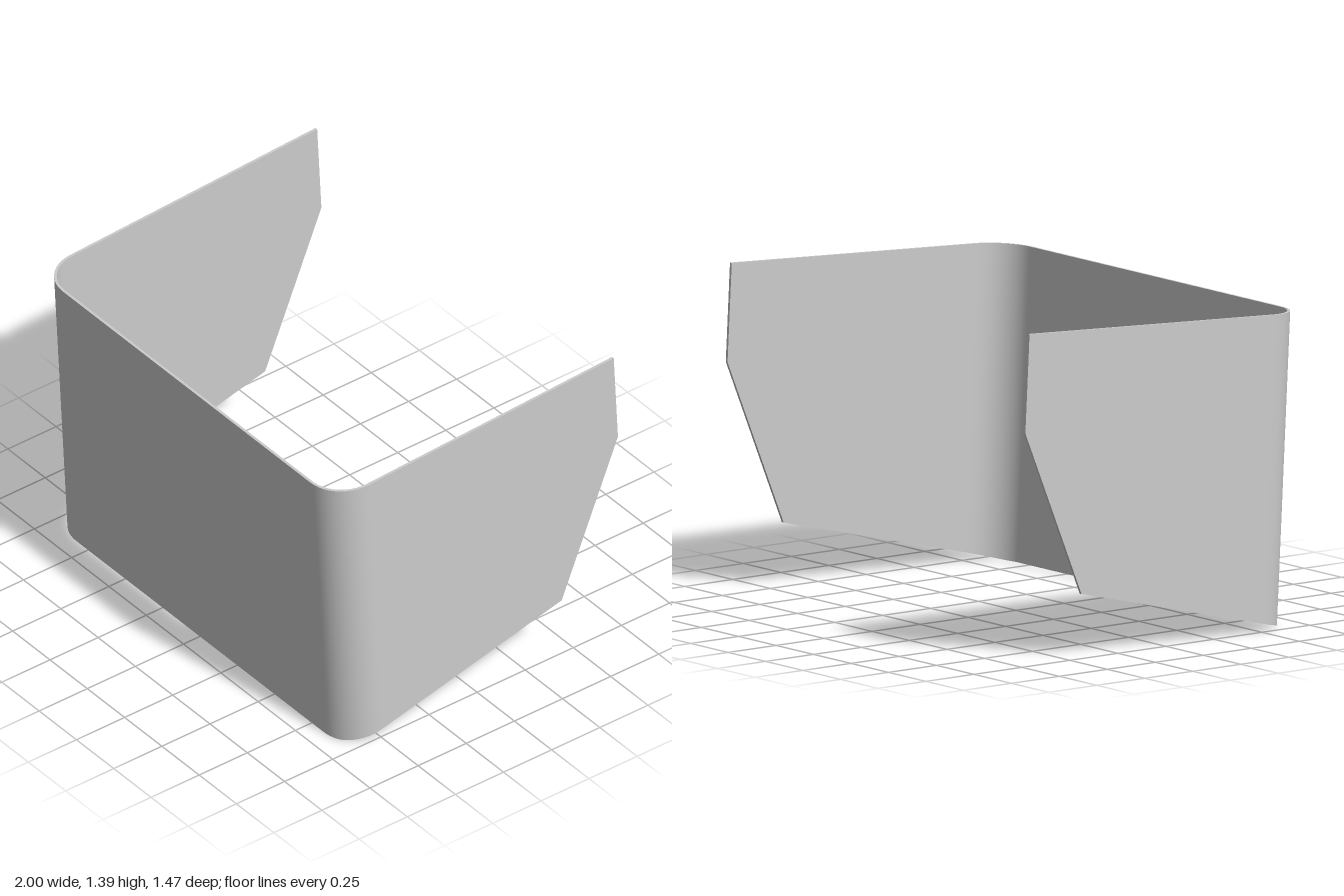
import * as THREE from 'three';

const THICK = 0.012, RADIUS = 0.17, REAR = 1.4485, KNEE = 1.119;

// Height of the lower and upper edges at distance u behind the front face
const lowerEdge = u => u < KNEE
  ? Math.max(0, (u - 0.02) * 0.2457)
  : 0.27 + (u - KNEE) * (0.705 / (REAR - KNEE));
const upperEdge = u => 1.31 + u * 0.0532;

// The panel leans forward as it rises
const place = (x, u, y) => new THREE.Vector3(x, y, 0.665 + 0.053 * y - u);

// U-shaped plan: each station is an outer and inner point, from the left rear to the right rear
function planStations() {
  const half = [[1, REAR, 1, 0], [1, KNEE, 1, 0]];
  const steps = 14;
  for (let i = 0; i <= steps; i++) {
    const a = (i / steps) * Math.PI / 2, c = Math.cos(a), s = Math.sin(a);
    half.push([1 - RADIUS + RADIUS * c, RADIUS - RADIUS * s, c, -s]);
  }
  const mirrored = half.map(([x, u, nx, nu]) => [-x, u, -nx, nu]).reverse();
  return [...half, ...mirrored];
}

// Thin four-sided cross-section swept along the plan, with sharp edges between its faces
function panelGeometry() {
  const rings = planStations().map(([x, u, nx, nu]) => {
    const xi = x - nx * THICK, ui = u - nu * THICK;
    return [
      place(x, u, lowerEdge(u)), place(x, u, upperEdge(u)),
      place(xi, ui, upperEdge(ui)), place(xi, ui, lowerEdge(ui)),
    ];
  });
  const pos = [], index = [];
  const push = v => pos.push(v.x, v.y, v.z);

  for (let k = 0; k < 4; k++) {
    const base = pos.length / 3;
    rings.forEach(r => { push(r[k]); push(r[(k + 1) % 4]); });
    for (let i = 0; i < rings.length - 1; i++) {
      const a = base + 2 * i;
      index.push(a, a + 1, a + 3, a, a + 3, a + 2);
    }
  }
  // Rear end caps
  for (const ring of [[...rings[0]].reverse(), rings[rings.length - 1]]) {
    const b = pos.length / 3;
    ring.forEach(push);
    index.push(b, b + 1, b + 2, b, b + 2, b + 3);
  }
  const geo = new THREE.BufferGeometry();
  geo.setAttribute('position', new THREE.Float32BufferAttribute(pos, 3));
  geo.setIndex(index);
  geo.computeVertexNormals();
  return geo;
}

export function createModel() {
  const group = new THREE.Group();
  group.name = 'wraparoundShield';
  const panel = new THREE.Mesh(panelGeometry(), new THREE.MeshStandardMaterial({ color: 0xcccccc }));
  panel.name = 'bentPanel';
  group.add(panel);
  return group;
}
